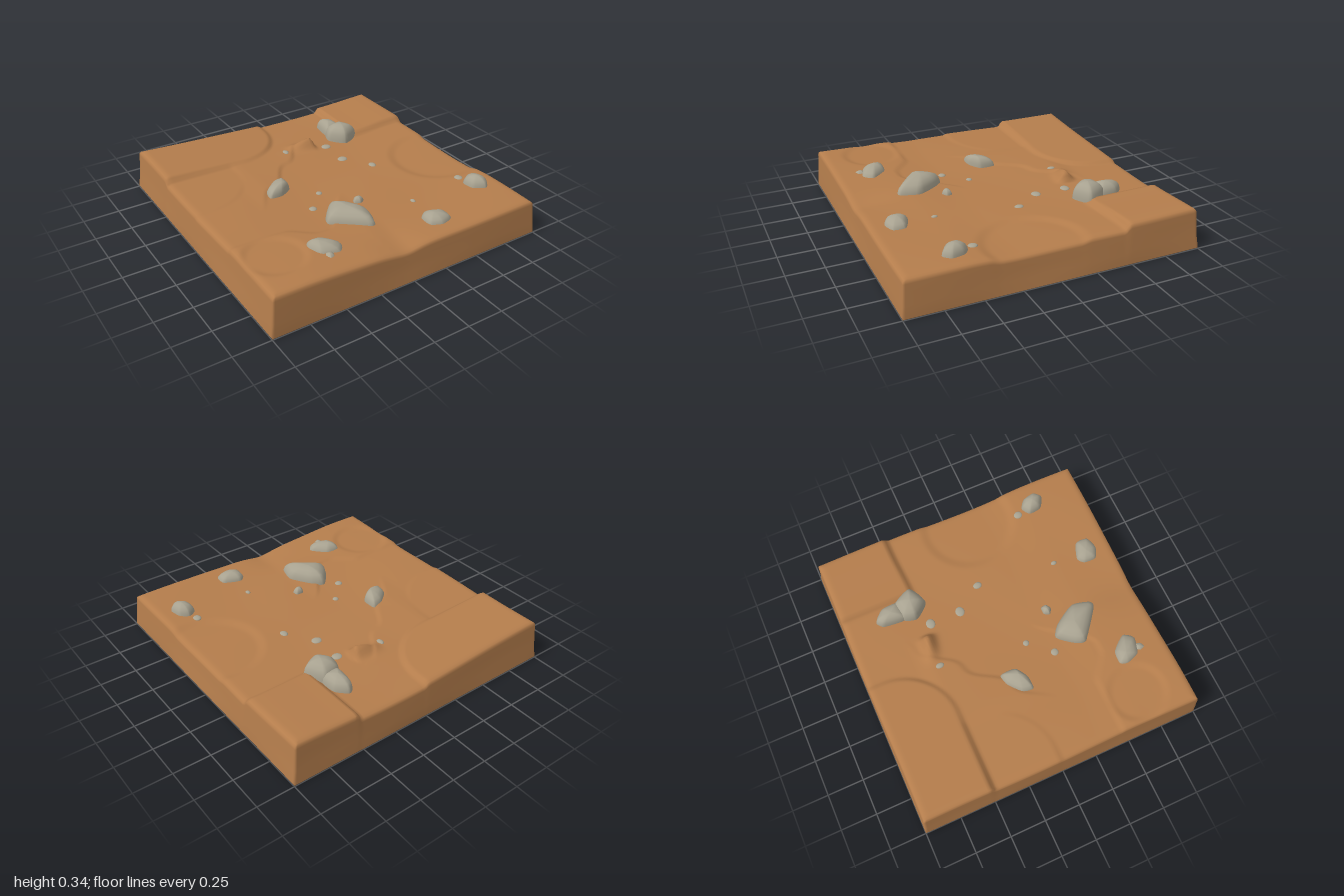
import * as THREE from 'three';
import { mergeVertices } from 'three/addons/utils/BufferGeometryUtils.js';

const { lerp } = THREE.MathUtils;
const step = (a, b, v) => {
  const t = THREE.MathUtils.clamp((v - a) / (b - a), 0, 1);
  return t * t * (3 - 2 * t);
};
const bell = (v, c, w) => Math.exp(-(((v - c) / w) ** 2));
// signed distance to a terrace that fills the corner x < ex, z < ez with a round end
const terrace = (x, z, ex, ez, r) =>
  Math.hypot(Math.max(x - ex + r, 0), Math.max(z - ez + r, 0)) - r;

// Height of the ground at any point
function ground(x, z) {
  let h = 0.228 + 0.028 * step(-0.1, -0.8, x) + 0.01 * step(0.3, 0.9, x);
  // raised front, with a shallow gully running out of it
  h += 0.013 * step(0.25, 0.6, z) - 0.022 * bell(x, -0.07, 0.13) * step(0.6, 1, z);
  h += 0.004 * Math.sin(x * 5 + z * 3) * Math.sin(z * 4);
  // shallow bowl at the right and one at the front left
  h -= 0.014 * step(0.36, 0.28, Math.hypot(x - 0.86, z - 0.12));
  h -= 0.012 * step(0.22, 0.16, Math.hypot(x + 0.77, z - 0.64));
  // low broken ledge crossing the middle
  const ledge = x + z + 0.46 + 0.03 * Math.sin(x * 25);
  h += 0.012 * step(0.02, -0.03, ledge) * step(-0.6, -0.4, x) * step(-0.65, -0.5, z);
  const frontLedge = z - 0.44 - 0.12 * step(-0.6, -0.4, x) + 0.35 * step(-0.35, 0, x);
  h += 0.01 * step(-0.02, 0.01, frontLedge) * step(0, -0.15, x);
  // left terraces
  h = lerp(h, 0.242 - 0.025 * x + 0.02 * z, step(0.015, -0.025, terrace(x, z, -0.48, -0.01, 0.4)));
  h = lerp(h, 0.246 - 0.055 * x, step(0.015, -0.025, terrace(x, z, 0, -0.49, 0.4)));
  // back right terrace
  const edge = -0.47 + 0.02 * step(0.9, 0.5, x);
  const mask = step(0.5, 0.53, x) * step(edge + 0.025, edge - 0.025, z);
  h = lerp(h, 0.262 + 0.018 * step(0.5, 1, x) - 0.01 * (z + 0.5), mask);
  // little wedge of earth
  h += 0.07 * step(-0.05, 0.14, x) * step(0.2, 0.16, x) * bell(z, -0.5 + 0.15 * (x - 0.05), 0.045);
  return h;
}

// Slab: a fine box whose top follows the ground and whose sides lean in
function slabGeometry() {
  const box = new THREE.BoxGeometry(2, 1, 2, 120, 7, 120);
  box.deleteAttribute('normal');
  box.deleteAttribute('uv');
  const g = mergeVertices(box, 1e-4);
  const p = g.attributes.position;
  const levels = [0.005, 0.012, 0.03, 0.35, 0.7, 0.9, 0.96, 1];
  const insets = [0.012, 0.003, 0, 0.01, 0.019, 0.023, 0.026, 0.036];
  for (let i = 0; i < p.count; i++) {
    const k = Math.round((p.getY(i) + 0.5) * 7);
    const x0 = p.getX(i), z0 = p.getZ(i);
    const wave = k > 2 ? 0.004 * Math.sin(x0 * 4 + z0 * 5) : 0;
    const x = x0 * (1 - insets[k] + wave), z = z0 * (1 - insets[k] * 0.8 + wave);
    const rim = Math.max(Math.abs(x0), Math.abs(z0));
    const top = ground(x, z) - 0.008 * step(0.975, 1, rim);
    p.setXYZ(i, x, k === 0 ? 0.001 + 0.003 * step(0.9, 1, rim) : top * levels[k], z);
  }
  g.computeVertexNormals();
  return g;
}

// Stone: rings shrinking from an outline towards a peak
function stoneGeometry(outline, [px, py, pz], base = 0.19) {
  const curve = new THREE.CatmullRomCurve3(
    outline.map(([x, z]) => new THREE.Vector3(x, 0, z)), true, 'catmullrom', 0.3);
  const n = 28, pts = curve.getPoints(n).slice(0, n);
  const rings = [[1, 0], [0.99, 0.35], [0.92, 0.6], [0.78, 0.78], [0.55, 0.91], [0.28, 0.98], [0.001, 1]];
  const pos = [], index = [];
  for (const [s, t] of rings)
    for (const v of pts) pos.push(lerp(px, v.x, s), lerp(base, py, t), lerp(pz, v.z, s));
  for (let r = 0; r < rings.length - 1; r++)
    for (let i = 0; i < n; i++) {
      const a = r * n + i, b = r * n + (i + 1) % n;
      index.push(a, b, a + n, b, b + n, a + n);
    }
  const g = new THREE.BufferGeometry();
  g.setAttribute('position', new THREE.Float32BufferAttribute(pos, 3));
  g.setIndex(index);
  g.computeVertexNormals();
  return g;
}

export function createModel() {
  const model = new THREE.Group();
  const earth = new THREE.MeshStandardMaterial({ color: 0xb47d4c });
  earth.name = 'earth';
  const rock = new THREE.MeshStandardMaterial({ color: 0xa8a290 });
  rock.name = 'rock';
  const add = (name, geometry, material) => {
    const mesh = new THREE.Mesh(geometry, material);
    mesh.name = name;
    model.add(mesh);
    return mesh;
  };
  add('groundSlab', slabGeometry(), earth);

  // Large stones: outline (x, z) running counter-clockwise from above, then the peak
  const stones = [
    [[[-0.46, 0.03], [-0.37, 0.03], [-0.28, -0.03], [-0.28, -0.14], [-0.36, -0.13], [-0.45, -0.05]], [-0.34, 0.305, -0.03]],
    [[[-0.3, 0.5], [-0.1, 0.66], [-0.05, 0.65], [-0.02, 0.52], [-0.11, 0.37], [-0.19, 0.32], [-0.28, 0.42]], [-0.16, 0.33, 0.47]],
    [[[-0.57, 0.68], [-0.53, 0.78], [-0.41, 0.81], [-0.36, 0.74], [-0.45, 0.63], [-0.55, 0.62]], [-0.5, 0.313, 0.69]],
    [[[-0.53, 0.8], [-0.51, 0.85], [-0.46, 0.83], [-0.45, 0.77], [-0.51, 0.76]], [-0.49, 0.28, 0.8]],
    [[[0.23, 0.84], [0.31, 0.88], [0.4, 0.85], [0.4, 0.76], [0.28, 0.71], [0.23, 0.75]], [0.3, 0.29, 0.79]],
    [[[0.75, 0.65], [0.83, 0.7], [0.88, 0.65], [0.86, 0.56], [0.8, 0.52], [0.74, 0.56]], [0.81, 0.315, 0.61]],
    [[[0.36, -0.55], [0.49, -0.56], [0.49, -0.69], [0.42, -0.76], [0.37, -0.72]], [0.42, 0.31, -0.64]],
    [[[0.33, -0.49], [0.42, -0.39], [0.55, -0.46], [0.48, -0.6], [0.36, -0.58]], [0.44, 0.342, -0.49]],
    [[[-0.02, 0.36], [0.02, 0.385], [0.06, 0.36], [0.05, 0.32], [0, 0.32]], [0.02, 0.27, 0.35]],
  ];
  stones.forEach(([outline, peak], i) => add(`stone${i + 1}`, stoneGeometry(outline, peak), rock));

  // Pebbles barely showing above the ground: x, z, half width, half depth
  const pebbles = [
    [-0.05, -0.48, 0.02, 0.03], [0.26, -0.42, 0.037, 0.033], [0.26, -0.2, 0.037, 0.033],
    [0.39, -0.01, 0.025, 0.032], [-0.14, 0.12, 0.022, 0.022], [-0.28, 0.27, 0.027, 0.027],
    [0.32, 0.55, 0.016, 0.022], [0.77, 0.48, 0.028, 0.032],
  ];
  const ball = new THREE.SphereGeometry(1, 16, 10);
  pebbles.forEach(([x, z, w, d], i) => {
    const pebble = add(`pebble${i + 1}`, ball, rock);
    pebble.position.set(x, ground(x, z) - 0.002, z);
    pebble.scale.set(w, 0.012, d);
  });
  return model;
}
